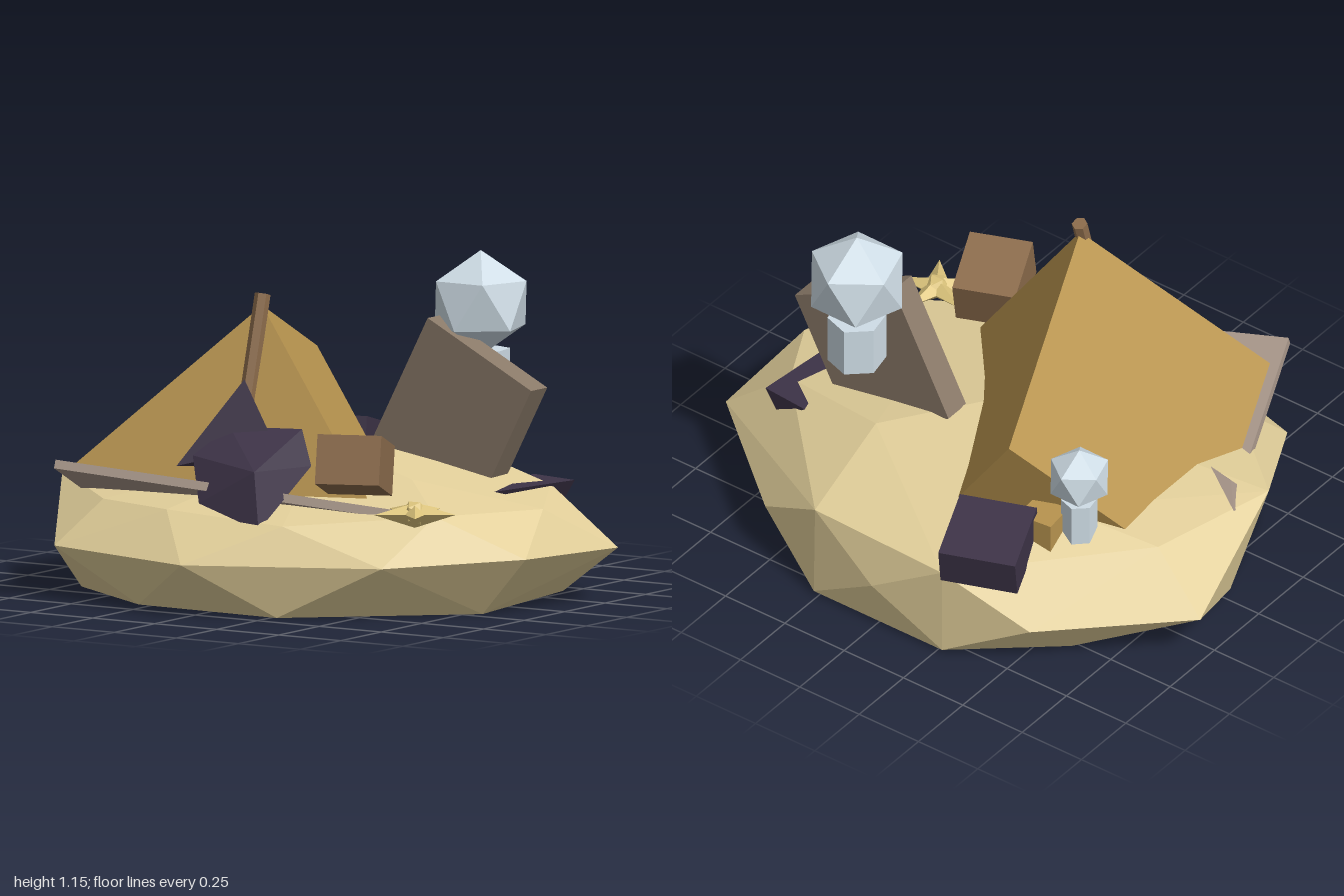
import * as THREE from 'three';
import { ConvexGeometry } from 'three/addons/geometries/ConvexGeometry.js';

const SAND = 0xe2cf9a, CANVAS = 0xb8944f, WOOD = 0x8c6c4c, PLANK = 0xa8978a, DARK = 0x3d3347, ICE = 0xcfdde6;
const V = (p) => new THREE.Vector3(...p);

export function createModel() {
  const group = new THREE.Group();

  function add(name, geometry, color, pos = [0, 0, 0], rot = [0, 0, 0]) {
    const mat = new THREE.MeshStandardMaterial({ color, flatShading: true });
    const mesh = new THREE.Mesh(geometry, mat);
    mesh.name = name;
    mesh.position.set(...pos);
    mesh.rotation.set(...rot, 'YXZ');
    group.add(mesh);
    return mesh;
  }
  const hull = (name, color, pts) => add(name, new ConvexGeometry(pts.map(V)), color);
  const box = (name, color, size, pos, rot) => add(name, new THREE.BoxGeometry(...size), color, pos, rot);

  // Faceted sand mound: base, rim and crown points
  hull('island', SAND, [
    [0.27, 0, 0.66], [-0.3, 0, 0.64], [-0.7, 0, 0.38], [0.8, 0, 0.2], [0.72, 0, -0.42],
    [0.27, 0.01, -0.81], [-0.27, 0.01, -0.81], [-0.6, 0, -0.52], [-0.88, 0.05, 0],
    [0, 0.18, 0.84], [-0.62, 0.18, 0.67], [-1, 0.18, -0.33], [-0.58, 0.18, -0.73],
    [0, 0.18, -0.845], [0.55, 0.18, -0.71], [1, 0.18, -0.33], [0.98, 0.2, 0.21], [0.62, 0.18, 0.55],
    [-0.9, 0.36, 0.19], [-0.52, 0.33, 0.52], [-0.2, 0.33, 0.62], [0.28, 0.31, 0.64], [0.7, 0.34, 0.34],
    [0.9, 0.34, -0.02], [0.75, 0.38, -0.3], [0.28, 0.34, -0.79], [-0.27, 0.34, -0.81],
    [-0.8, 0.38, -0.3], [-0.45, 0.45, -0.4], [0.3, 0.47, -0.42], [0, 0.5, -0.05], [0.45, 0.42, 0.1],
  ]);

  // Tent: a triangular prism sinking backwards into the sand
  const front = [[-0.03, 1.0, 0.29], [-0.56, 0.45, 0.66], [0.43, 0.34, 0.31]];
  const back = front.map(([x, y, z]) => [x - 0.32, y - 0.26, z - 0.83]);
  hull('tent', CANVAS, [...front, ...back]);
  add('tentPole', new THREE.CylinderGeometry(0.027, 0.027, 0.66, 6), WOOD, [-0.03, 0.72, 0.375], [-0.27, 0, 0]);

  // Thin tilted floor board under the tent
  const u = V([1.1, -0.13, -0.38]).normalize();
  const v = V([0.32, 0.26, 0.83]);
  v.addScaledVector(u, -v.dot(u)).normalize();
  const n = new THREE.Vector3().crossVectors(v, u);
  const floor = box('tentFloor', PLANK, [1.18, 0.03, 0.9]);
  floor.quaternion.setFromRotationMatrix(new THREE.Matrix4().makeBasis(u, n, v));
  floor.position.set(-0.55, 0.49, 0.77).addScaledVector(u, 0.59).addScaledVector(v, -0.45).addScaledVector(n, -0.015);

  // Leaning slab and crates
  box('slab', 0x8a7968, [0.47, 0.5, 0.1], [0.43, 0.6, -0.22], [0, 0, -0.48]);
  box('crate', WOOD, [0.22, 0.17, 0.24], [0.425, 0.505, 0.415], [-0.28, 0.38, 0]);
  box('smallCrate', CANVAS, [0.13, 0.12, 0.12], [-0.45, 0.42, -0.48], [0, 0.1, 0]);
  box('darkBlockBack', DARK, [0.27, 0.14, 0.27], [-0.355, 0.41, -0.66], [-0.2, 0.36, 0]);

  // Dark block and shard in front of the tent
  hull('darkBlockFront', DARK, [
    [-0.07, 0.6, 0.43], [0.17, 0.6, 0.35], [0.22, 0.48, 0.37], [0, 0.42, 0.33],
    [-0.14, 0.51, 0.55], [0.14, 0.48, 0.6], [0.19, 0.29, 0.65], [-0.07, 0.36, 0.62],
  ]);
  hull('darkShardFront', DARK, [[-0.03, 0.76, 0.4], [-0.2, 0.47, 0.56], [0.09, 0.55, 0.4], [-0.03, 0.46, 0.36]]);
  hull('darkShardSide', DARK, [[0.6, 0.39, -0.42], [0.78, 0.385, -0.4], [0.73, 0.39, 0.02], [0.72, 0.29, -0.4]]);
  hull('paleShard', PLANK, [[-0.88, 0.37, 0.02], [-0.7, 0.41, 0.13], [-0.82, 0.27, 0.23], [-0.8, 0.41, 0.11]]);

  // Faceted balls on short posts
  for (const [name, r, x, y, z, postR, postH] of [
    ['large', 0.18, 0.44, 0.97, -0.34, 0.1, 0.18],
    ['small', 0.113, -0.55, 0.632, -0.41, 0.062, 0.16],
  ]) {
    add(name + 'Ball', new THREE.IcosahedronGeometry(r), ICE, [x, y, z], [0, 0.3, -0.554]);
    add(name + 'Post', new THREE.CylinderGeometry(postR, postR, postH, 6), ICE,
      [x, y - r * 0.92 - postH / 2 + 0.01, z], [0, 0.2, 0]);
  }

  // Five-pointed star: rim fanned to an upper and a lower tip
  const rim = [], tris = [];
  for (let i = 0; i < 10; i++) {
    const a = 0.27 + i * Math.PI / 5, r = i % 2 ? 0.055 : 0.145;
    rim.push([r * Math.cos(a), 0, -r * Math.sin(a)]);
  }
  rim.forEach((p, i) => {
    const q = rim[(i + 1) % 10];
    tris.push(...p, ...q, 0, 0.035, 0, ...q, ...p, 0, -0.05, 0);
  });
  const star = new THREE.BufferGeometry();
  star.setAttribute('position', new THREE.Float32BufferAttribute(tris, 3));
  star.computeVertexNormals();
  add('star', star, 0xdcc47c, [0.67, 0.36, 0.42]);
  add('starCentre', new THREE.IcosahedronGeometry(0.045), 0xdcc47c, [0.67, 0.36, 0.42]);

  return group;
}
